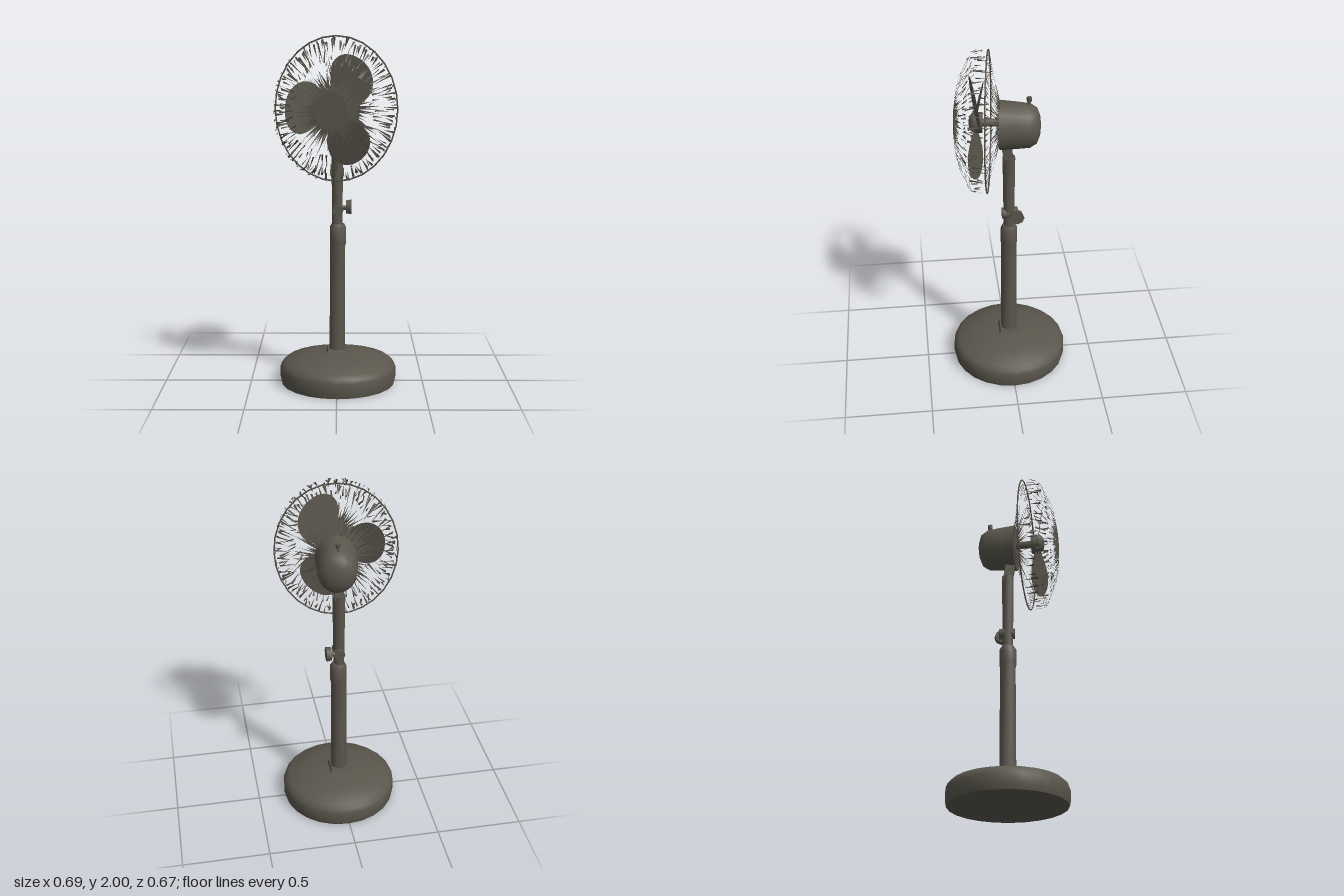
import * as THREE from 'three';
import { toCreasedNormals } from 'three/addons/utils/BufferGeometryUtils.js';

const plastic = new THREE.MeshStandardMaterial({ color: 0x5a564c, side: THREE.DoubleSide });
plastic.name = 'warm dark grey';

function add(parent, name, geometry, x = 0, y = 0, z = 0) {
  const mesh = new THREE.Mesh(geometry, plastic);
  mesh.name = name;
  mesh.position.set(x, y, z);
  parent.add(mesh);
  return mesh;
}

// Revolved profile with sharp edges kept
function lathe(points, sides, crease = 0.8) {
  const profile = points.map(([r, y]) => new THREE.Vector2(r, y));
  return toCreasedNormals(new THREE.LatheGeometry(profile, sides), crease);
}

// Faceted post, turned so that a flat side faces forward
function post(top, bottom, height, sides) {
  return toCreasedNormals(new THREE.CylinderGeometry(top, bottom, height, sides).rotateY(Math.PI / sides), 0.9);
}

let seed = 7;
function random(min, max) {
  seed = (seed * 16807) % 2147483647;
  return min + (max - min) * seed / 2147483647;
}

// Tapered wire slivers running between two rings [radius, z] of the guard
function slivers(from, to, count, width, startRange, lengthRange) {
  const positions = [];
  const point = (t, angle, shift) => {
    const r = THREE.MathUtils.lerp(from[0], to[0], t);
    const z = THREE.MathUtils.lerp(from[1], to[1], t);
    positions.push(
      r * Math.cos(angle) - shift * Math.sin(angle),
      r * Math.sin(angle) + shift * Math.cos(angle), z);
  };
  for (let i = 0; i < count; i++) {
    const angle = (i + random(-0.4, 0.4)) / count * Math.PI * 2;
    const start = random(...startRange);
    const end = Math.min(1, start + random(...lengthRange));
    const half = width * random(0.5, 1.2);
    point(start, angle, -half);
    point(start + random(-0.04, 0.04), angle, half);
    point(end, angle + random(-0.04, 0.04), 0);
  }
  const geometry = new THREE.BufferGeometry();
  geometry.setAttribute('position', new THREE.Float32BufferAttribute(positions, 3));
  geometry.computeVertexNormals();
  return geometry;
}

// Rounded petal, pitched across its width
function bladeGeometry() {
  const outline = new THREE.Shape();
  outline.moveTo(0.03, -0.03);
  outline.bezierCurveTo(0.08, -0.08, 0.1, -0.13, 0.18, -0.125);
  outline.bezierCurveTo(0.25, -0.11, 0.275, -0.05, 0.275, 0);
  outline.bezierCurveTo(0.275, 0.07, 0.24, 0.12, 0.18, 0.12);
  outline.bezierCurveTo(0.12, 0.11, 0.08, 0.06, 0.03, 0.03);
  const geometry = new THREE.ShapeGeometry(outline, 6);
  const p = geometry.attributes.position;
  for (let i = 0; i < p.count; i++) p.setZ(i, 0.28 * p.getY(i));
  geometry.computeVertexNormals();
  return geometry;
}

export function createModel() {
  const fan = new THREE.Group();
  fan.name = 'pedestalFan';

  // Base and stand
  add(fan, 'base', lathe([[0, 0], [0.33, 0], [0.337, 0.03], [0.337, 0.085], [0.329, 0.108],
    [0.305, 0.13], [0.2, 0.157], [0.11, 0.175], [0, 0.178]], 24), 0.007);
  add(fan, 'baseCollar', post(0.076, 0.09, 0.03, 4), 0.002, 0.183, 0);
  add(fan, 'column', post(0.047, 0.049, 0.64, 8), 0.004, 0.5, 0);
  add(fan, 'columnSleeve', lathe([[0.047, 0.81], [0.048, 0.82], [0.048, 0.915], [0.037, 0.935], [0, 0.935]], 10), 0.006);
  add(fan, 'innerPole', post(0.037, 0.031, 0.46, 8), 0.003, 1.15, 0);

  // Height clamp and its knob
  add(fan, 'clamp', toCreasedNormals(new THREE.CylinderGeometry(0.032, 0.032, 0.09, 8).rotateX(Math.PI / 2), 0.9),
    0.006, 1.015, -0.005);
  add(fan, 'knobShaft', new THREE.CylinderGeometry(0.014, 0.014, 0.04, 8).rotateZ(Math.PI / 2), 0.04, 1.02, -0.035);
  add(fan, 'knob', toCreasedNormals(new THREE.CylinderGeometry(0.038, 0.043, 0.03, 8).rotateZ(Math.PI / 2), 0.9),
    0.069, 1.025, -0.038);

  // Tilting neck
  const neck = add(fan, 'neck', new THREE.BoxGeometry(0.05, 0.12, 0.055), 0.003, 1.41, 0.008);
  neck.rotation.x = 0.18;

  // Head, turned slightly to one side and taller than wide
  const head = new THREE.Group();
  head.name = 'head';
  head.position.set(0.012, 1.595, 0);
  head.rotation.y = -0.14;
  head.scale.y = 1.17;
  fan.add(head);

  add(head, 'motorHousing', lathe([[0, -0.173], [0.045, -0.169], [0.085, -0.152], [0.106, -0.115],
    [0.114, -0.03], [0.12, 0.05], [0, 0.052]], 16).rotateX(Math.PI / 2), 0.002, -0.012, 0);
  add(head, 'oscillationPin', new THREE.CylinderGeometry(0.006, 0.006, 0.04, 6), 0, 0.105, -0.108);
  add(head, 'oscillationKnob', new THREE.CylinderGeometry(0.015, 0.013, 0.022, 6), 0, 0.121, -0.108);
  add(head, 'axle', new THREE.CylinderGeometry(0.02, 0.02, 0.14, 8).rotateX(Math.PI / 2), 0, 0, 0.11);

  // Propeller
  add(head, 'hub', lathe([[0.05, -0.035], [0.05, 0.015], [0.03, 0.035], [0, 0.04]], 12).rotateX(Math.PI / 2), 0, 0, 0.18);
  const blade = bladeGeometry();
  for (let i = 0; i < 3; i++) {
    add(head, 'blade', blade, 0, 0, 0.18).rotation.z = THREE.MathUtils.degToRad(58 + i * 120);
  }

  // Wire guard: thin rim, front cap and broken radial wires
  const guard = new THREE.Group();
  guard.name = 'guard';
  head.add(guard);
  add(guard, 'rim', new THREE.TorusGeometry(0.342, 0.004, 4, 28), 0, 0, 0.114);
  add(guard, 'frontCap', new THREE.CircleGeometry(0.09, 16), 0, 0, 0.296);
  const backHub = [0.1, 0.05], backRim = [0.342, 0.114];
  const frontRim = [0.337, 0.205], frontEdge = [0.2, 0.28], frontHub = [0.08, 0.296];
  add(guard, 'frontInnerWires', slivers(frontHub, frontEdge, 90, 0.0055, [0, 0.1], [0.3, 1]));
  add(guard, 'frontMiddleWires', slivers(frontEdge, frontRim, 60, 0.005, [0, 0.3], [0.2, 0.6]));
  add(guard, 'frontOuterWires', slivers(frontRim, frontEdge, 70, 0.006, [0, 0.2], [0.15, 0.5]));
  add(guard, 'sideWires', slivers(frontRim, backRim, 50, 0.007, [0, 0.3], [0.4, 1]));
  add(guard, 'backInnerWires', slivers(backHub, backRim, 90, 0.006, [0, 0.08], [0.2, 0.65]));
  add(guard, 'backOuterWires', slivers(backRim, backHub, 80, 0.006, [0, 0.12], [0.12, 0.45]));

  return fan;
}
